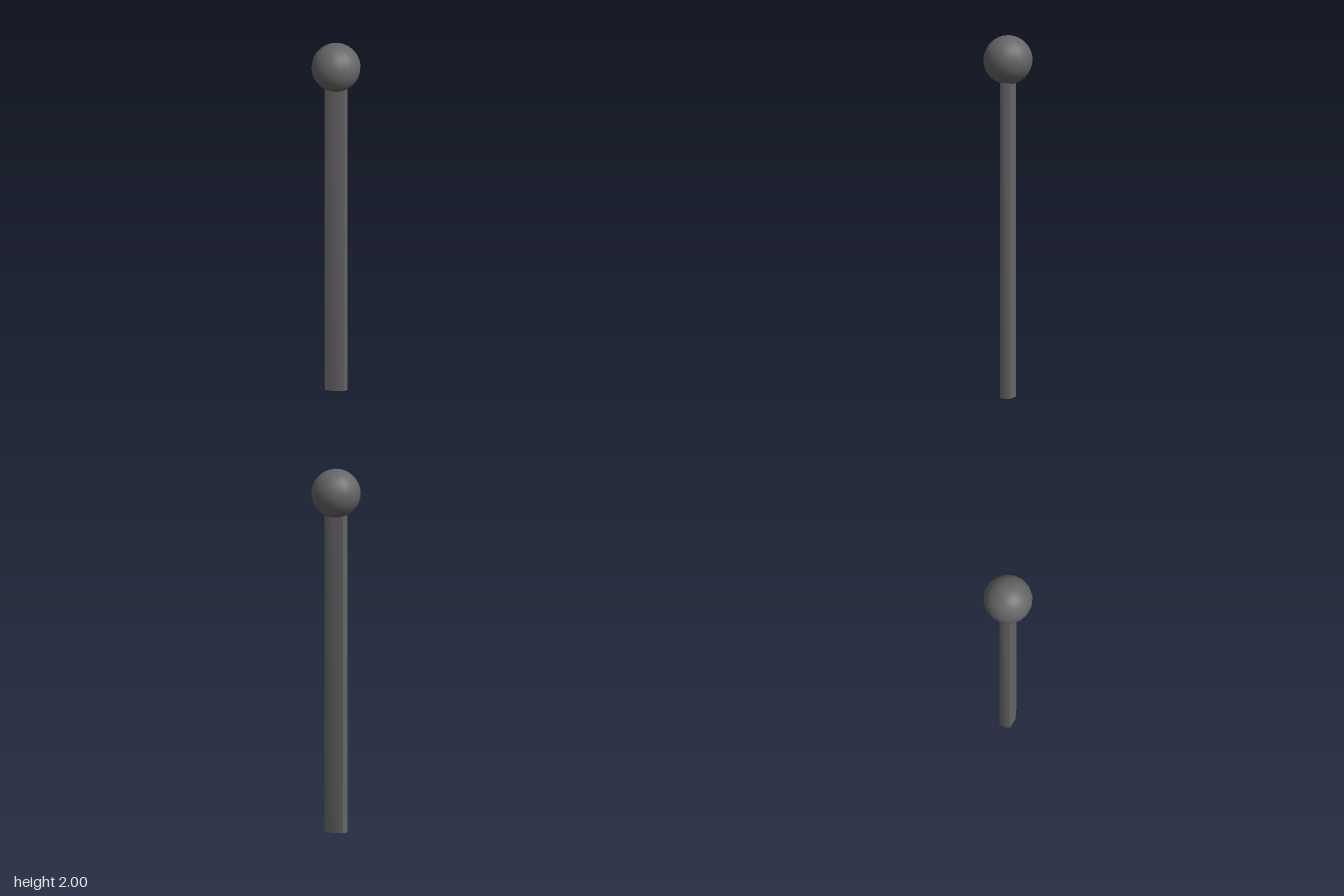
import * as THREE from 'three';
import { toCreasedNormals } from 'three/addons/utils/BufferGeometryUtils.js';

export function createModel() {
  const group = new THREE.Group();
  const material = new THREE.MeshStandardMaterial({ color: 0x666666 });

  // flattened eight-sided shaft, creased only at its four corners
  const section = [
    [0.065, 0], [0.055, 0.03], [0, 0.043], [-0.055, 0.03],
    [-0.065, 0], [-0.055, -0.03], [0, -0.043], [0.055, -0.03],
  ];
  const outline = new THREE.Shape(section.map(([x, z]) => new THREE.Vector2(x, z)));
  const shaftGeometry = new THREE.ExtrudeGeometry(outline, { depth: 1.755, bevelEnabled: false });
  shaftGeometry.rotateX(-Math.PI / 2);
  const shaft = new THREE.Mesh(toCreasedNormals(shaftGeometry, 0.75), material);
  shaft.name = 'shaft';
  group.add(shaft);

  // ball knob on the top end
  const radius = 0.134;
  const knob = new THREE.Mesh(new THREE.SphereGeometry(radius, 16, 24), material);
  knob.name = 'ballKnob';
  knob.position.y = 2 - radius;
  group.add(knob);

  return group;
}
